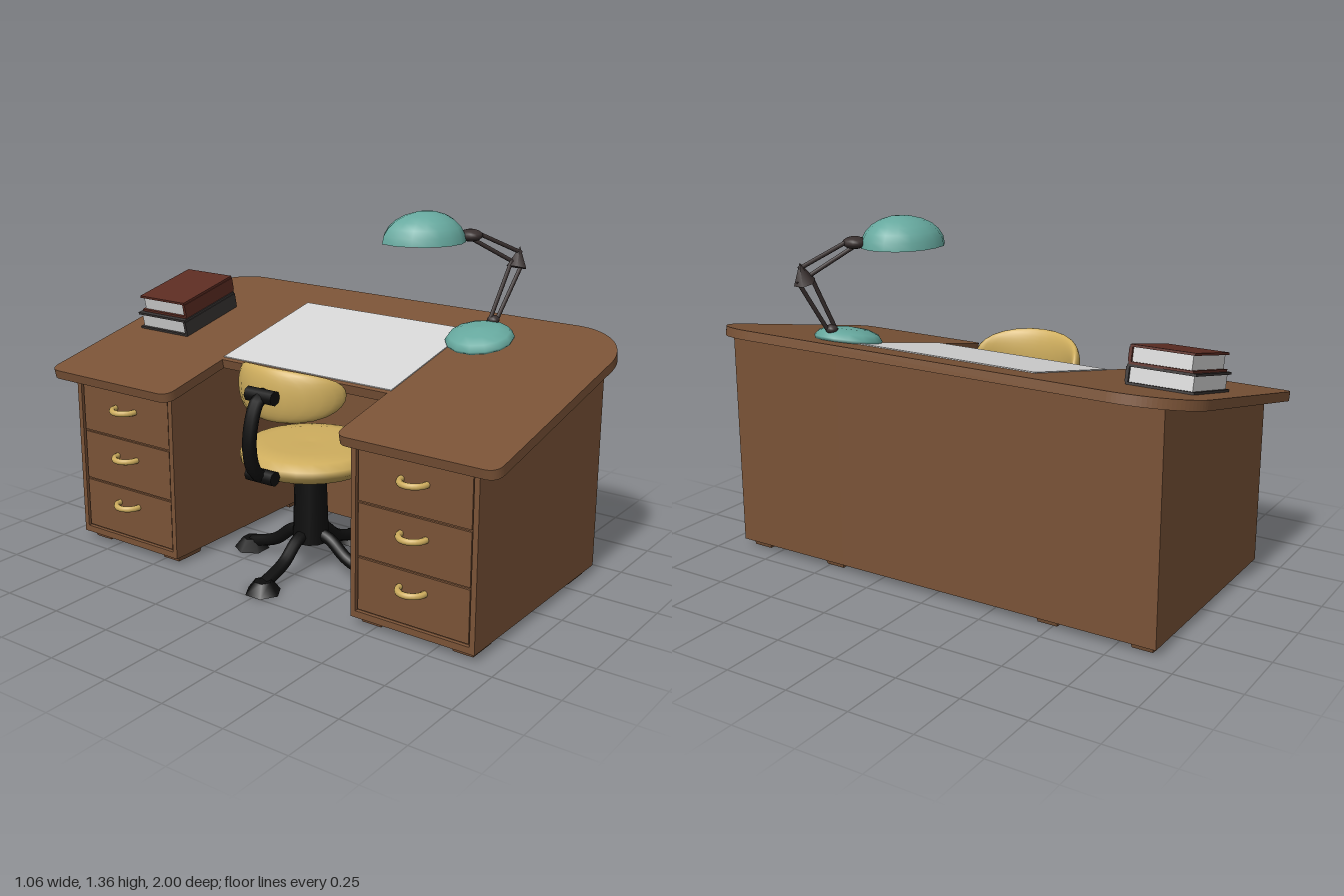
import * as THREE from 'three';
import { mergeVertices } from 'three/addons/utils/BufferGeometryUtils.js';

const mat = (name, color) => {
  const m = new THREE.MeshStandardMaterial({ color });
  m.name = name;
  return m;
};

export function createModel() {
  const model = new THREE.Group();
  model.name = 'deskSet';
  const wood = mat('brown wood', 0x7a5337), teal = mat('teal enamel', 0x66a89e);
  const gold = mat('mustard', 0xcfae5e), black = mat('black', 0x0e0e0e);
  const metal = mat('dark metal', 0x3a3130), red = mat('maroon cover', 0x5c2c22);
  const grey = mat('charcoal cover', 0x383433), paper = mat('paper', 0xd6d6d6);

  const add = (parent, name, geo, material, x = 0, y = 0, z = 0) => {
    const mesh = new THREE.Mesh(geo, material);
    mesh.name = name;
    mesh.position.set(x, y, z);
    parent.add(mesh);
    return mesh;
  };
  // box given by its minimum and maximum corners
  const box = (parent, name, material, a, b) =>
    add(parent, name, new THREE.BoxGeometry(b[0] - a[0], b[1] - a[1], b[2] - a[2]), material,
      (a[0] + b[0]) / 2, (a[1] + b[1]) / 2, (a[2] + b[2]) / 2);
  const rod = (parent, name, material, a, b, r) => {
    const p = new THREE.Vector3(...a), q = new THREE.Vector3(...b);
    const mesh = add(parent, name, new THREE.CylinderGeometry(r, r, p.distanceTo(q), 8), material);
    mesh.position.copy(p).add(q).multiplyScalar(0.5);
    mesh.quaternion.setFromUnitVectors(new THREE.Vector3(0, 1, 0), q.sub(p).normalize());
  };
  const lathe = (pts, n) => new THREE.LatheGeometry(pts.map(p => new THREE.Vector2(...p)), n);
  const tube = (pts, r) =>
    new THREE.TubeGeometry(new THREE.CatmullRomCurve3(pts.map(p => new THREE.Vector3(...p))), 20, r, 8);

  // ---- sloping desk top with rounded back corners and knee cutout
  const slope = Math.atan(0.2115);
  const top = new THREE.Group();
  top.name = 'slopingTop';
  top.position.y = 0.819;
  top.rotation.z = slope;
  model.add(top);
  const L = -0.53, R = 0.538, C = -0.205, r = 0.25, s = 0.05;
  const plan = new THREE.Shape();
  plan.moveTo(C, -0.38);
  plan.lineTo(L + s, -0.38);
  plan.quadraticCurveTo(L, -0.38, L, -0.38 - s);
  plan.lineTo(L, -1 + s);
  plan.quadraticCurveTo(L, -1, L + s, -1);
  plan.lineTo(R - r, -1);
  plan.absarc(R - r, -1 + r, r, -Math.PI / 2, 0, false);
  plan.lineTo(R, 1 - r);
  plan.absarc(R - r, 1 - r, r, 0, Math.PI / 2, false);
  plan.lineTo(L + s, 1);
  plan.quadraticCurveTo(L, 1, L, 1 - s);
  plan.lineTo(L, 0.38 + s);
  plan.quadraticCurveTo(L, 0.38, L + s, 0.38);
  plan.lineTo(C, 0.38);
  const slab = new THREE.ExtrudeGeometry(plan, { depth: 0.036, bevelEnabled: false, curveSegments: 12 });
  add(top, 'deskTop', slab.rotateX(Math.PI / 2), wood);
  box(top, 'blotter', paper, [-0.185, 0, -0.387], [0.362, 0.004, 0.385]);

  // ---- desk body: two pedestals and a back section
  const under = x => 0.784 + 0.2115 * x;
  const prism = (name, x0, x1, z0, z1) => {
    const shape = new THREE.Shape([[x0, 0.03], [x1, 0.03], [x1, under(x1)], [x0, under(x0)]]
      .map(p => new THREE.Vector2(...p)));
    add(model, name, new THREE.ExtrudeGeometry(shape, { depth: z1 - z0, bevelEnabled: false }), wood, 0, 0, z0);
  };
  prism('backSection', 0.277, 0.435, -0.41, 0.41);
  const footGeo = new THREE.CylinderGeometry(0.707, 0.62, 1, 4).toNonIndexed().rotateY(Math.PI / 4);
  footGeo.scale(0.14, 0.03, 0.09);
  footGeo.computeVertexNormals();
  const pull = new THREE.TorusGeometry(0.05, 0.012, 8, 14, Math.PI);
  pull.rotateX(Math.PI / 2).rotateY(-Math.PI / 2);
  for (const side of [-1, 1]) {
    const z0 = side < 0 ? -0.91 : 0.41, z1 = z0 + 0.5, zc = z0 + 0.25;
    prism('pedestal', -0.445, 0.435, z0, z1);
    // raised frame around the drawers
    for (const z of [z0, z1 - 0.02]) box(model, 'drawerFrame', wood, [-0.46, 0.03, z], [-0.445, 0.687, z + 0.02]);
    box(model, 'drawerFrame', wood, [-0.46, 0.03, z0 + 0.02], [-0.445, 0.055, z1 - 0.02]);
    box(model, 'drawerFrame', wood, [-0.46, 0.67, z0 + 0.02], [-0.445, 0.687, z1 - 0.02]);
    for (let i = 0; i < 3; i++) {
      const y = 0.062 + i * 0.203;
      box(model, 'drawer', wood, [-0.454, y, z0 + 0.027], [-0.445, y + 0.195, z1 - 0.027]);
      add(model, 'drawerHandle', pull, gold, -0.454, 0.195 + i * 0.195, zc);
    }
    for (const x of [-0.36, 0.34]) for (const z of [0.475, 0.845])
      add(model, 'deskFoot', footGeo, wood, x, 0.015, side * z);
  }

  // ---- books: boards, spine and page block
  const book = (cover, x0, x1, y0, y1, z0, z1) => {
    const b = new THREE.Group(), t = 0.009;
    b.name = 'book';
    top.add(b);
    box(b, 'bookCover', cover, [x0, y0, z0], [x1, y0 + t, z1]);
    box(b, 'bookCover', cover, [x0, y1 - t, z0], [x1, y1, z1]);
    box(b, 'bookSpine', cover, [x0, y0 + t, z1 - t], [x1, y1 - t, z1 + 0.003]);
    box(b, 'bookPages', paper, [x0 + 0.01, y0 + t, z0 + 0.01], [x1 - 0.01, y1 - t, z1 - t]);
  };
  book(grey, -0.088, 0.228, 0, 0.07, -0.915, -0.663);
  book(red, -0.07, 0.232, 0.07, 0.138, -0.905, -0.668);

  // ---- desk lamp
  const lamp = new THREE.Group();
  lamp.name = 'lamp';
  model.add(lamp);
  add(top, 'lampBase', lathe([[0, 0], [0.125, 0], [0.131, 0.012], [0.115, 0.032], [0.075, 0.048], [0, 0.055]], 14),
    teal, 0.292, 0, 0.47);
  const knob = (x, y, z, rx, ry) =>
    add(lamp, 'lampJoint', new THREE.SphereGeometry(1, 12, 8).scale(rx, ry, rx), metal, x, y, z);
  knob(0.375, 0.943, 0.475, 0.024, 0.018);
  knob(0.318, 1.265, 0.4, 0.045, 0.023);
  rod(lamp, 'lowerArm', metal, [0.362, 0.945, 0.468], [0.457, 1.16, 0.5], 0.008);
  rod(lamp, 'lowerArm', metal, [0.388, 0.94, 0.482], [0.505, 1.14, 0.518], 0.008);
  rod(lamp, 'upperArm', metal, [0.5, 1.185, 0.515], [0.335, 1.275, 0.41], 0.008);
  rod(lamp, 'upperArm', metal, [0.47, 1.15, 0.505], [0.325, 1.253, 0.395], 0.008);
  add(lamp, 'lampElbow', new THREE.ConeGeometry(0.042, 0.08, 6), metal, 0.488, 1.17, 0.51).rotation.z = -0.3;
  // dome drawn out to a point at its front
  const dome = (name, k, flip, material) => {
    const pts = [0, 1, 2, 3, 4, 5, 6].map(i => {
      const a = i / 6 * Math.PI / 2;
      return [0.128 * k * Math.cos(a), 0.113 * k * Math.sin(a)];
    });
    const geo = lathe(flip ? pts.reverse() : pts, 16), p = geo.attributes.position;
    for (let i = 0; i < p.count; i++) {
      const c = Math.cos(Math.atan2(p.getX(i), p.getZ(i)));
      const f = 1 + 0.17 * c * c + 0.2 * Math.max(0, c) ** 8;
      p.setXYZ(i, p.getX(i) * f, p.getY(i), p.getZ(i) * f);
    }
    geo.computeVertexNormals();
    add(lamp, name, geo, material, 0.2, 1.246, 0.28).rotation.y = Math.atan2(-0.82, -0.57);
  };
  dome('lampShade', 1, false, teal);
  dome('shadeLining', 0.97, true, paper);

  // ---- swivel chair
  const chair = new THREE.Group();
  chair.name = 'chair';
  chair.position.x = -0.145;
  model.add(chair);
  add(chair, 'seat', lathe([[0, 0.4], [0.16, 0.405], [0.23, 0.42], [0.265, 0.45], [0.265, 0.475], [0.24, 0.5],
    [0.17, 0.512], [0, 0.505]], 28), gold);
  add(chair, 'column', new THREE.CylinderGeometry(0.06, 0.07, 0.3, 12), black, 0, 0.26, 0);
  for (let i = 0; i < 4; i++) {
    const leg = new THREE.Group();
    leg.name = 'chairLeg';
    leg.rotation.y = i * Math.PI / 2;
    chair.add(leg);
    add(leg, 'legTube', tube([[0.02, 0.15, 0], [0.09, 0.13, 0], [0.17, 0.07, 0], [0.29, 0.03, 0]], 0.024), black);
    add(leg, 'legPad', new THREE.CylinderGeometry(0.035, 0.07, 0.045, 6), black, 0.295, 0.0225, 0);
  }
  // backrest: a flattened ball wrapped round the sitter
  const back = new THREE.SphereGeometry(1, 28, 16), bp = back.attributes.position;
  for (let i = 0; i < bp.count; i++) {
    const t = bp.getX(i) * 0.033, a = -bp.getZ(i) * 1.4;
    bp.setXYZ(i, -0.045 - (0.19 + t) * Math.cos(a), 0.748 + bp.getY(i) * 0.1, (0.225 + t) * Math.sin(a));
  }
  back.deleteAttribute('uv');
  back.deleteAttribute('normal');
  const backGeo = mergeVertices(back);
  backGeo.computeVertexNormals();
  add(chair, 'backrest', backGeo, gold);
  add(chair, 'backSupport', tube([[-0.265, 0.76, 0], [-0.315, 0.735, 0], [-0.358, 0.6, 0], [-0.335, 0.49, 0],
    [-0.28, 0.45, 0], [-0.1, 0.41, 0]], 0.026), black);
  for (const [x, y] of [[-0.285, 0.755], [-0.29, 0.455]])
    add(chair, 'supportKnuckle', new THREE.CylinderGeometry(0.028, 0.028, 0.12, 8).rotateX(Math.PI / 2), black, x, y, 0);

  return model;
}
